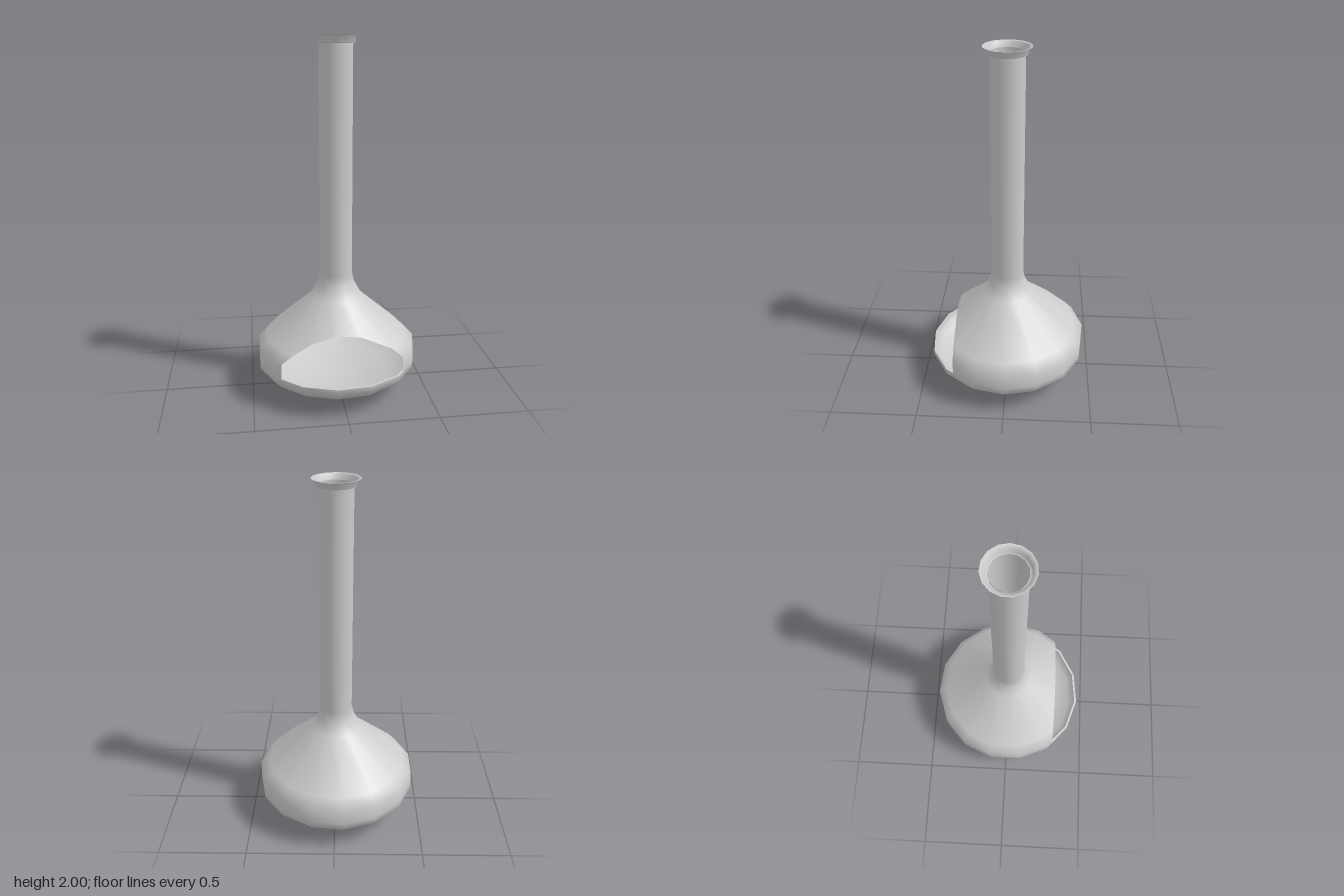
import * as THREE from 'three';

const SIDES = 15;
const LIP_Y = 0.18;   // height of the hearth lip
const CUT_Z = 0.3;    // vertical plane of the fire opening
const material = new THREE.MeshStandardMaterial({ color: 0xcccccc, side: THREE.DoubleSide });

// Turned surface with one corner pointing to +x
function turned(points) {
  return new THREE.LatheGeometry(points.map(([r, y]) => new THREE.Vector2(r, y)), SIDES, Math.PI / 2);
}

// Keep only the part of a geometry behind the plane z = limit
function clipFront(geometry, limit) {
  const src = geometry.toNonIndexed();
  const pos = src.attributes.position, nor = src.attributes.normal;
  const positions = [], normals = [];
  for (let i = 0; i < pos.count; i += 3) {
    const tri = [0, 1, 2].map(k => ({
      p: new THREE.Vector3().fromBufferAttribute(pos, i + k),
      n: new THREE.Vector3().fromBufferAttribute(nor, i + k),
    }));
    const poly = [];
    tri.forEach((a, k) => {
      const b = tri[(k + 1) % 3];
      if (a.p.z <= limit) poly.push(a);
      if ((a.p.z <= limit) !== (b.p.z <= limit)) {
        const t = (limit - a.p.z) / (b.p.z - a.p.z);
        poly.push({ p: a.p.clone().lerp(b.p, t), n: a.n.clone().lerp(b.n, t).normalize() });
      }
    });
    for (let k = 1; k + 1 < poly.length; k++) {
      for (const v of [poly[0], poly[k], poly[k + 1]]) {
        positions.push(...v.p.toArray());
        normals.push(...v.n.toArray());
      }
    }
  }
  const out = new THREE.BufferGeometry();
  out.setAttribute('position', new THREE.Float32BufferAttribute(positions, 3));
  out.setAttribute('normal', new THREE.Float32BufferAttribute(normals, 3));
  return out;
}

export function createModel() {
  const group = new THREE.Group();
  const add = (name, geometry) => {
    const mesh = new THREE.Mesh(geometry, material);
    mesh.name = name;
    group.add(mesh);
  };

  // Rounded bowl, its flat lip and its inner face
  add('bowl', turned([[0, 0], [0.09, 0.002], [0.19, 0.02], [0.33, 0.058], [0.42, 0.105], [0.46, 0.148], [0.46, LIP_Y]]));
  add('bowlLip', turned([[0.46, LIP_Y], [0.447, LIP_Y]]));
  add('bowlInside', turned([[0.447, LIP_Y], [0.447, 0.153], [0.41, 0.115], [0.325, 0.072], [0.19, 0.035], [0.09, 0.016], [0, 0.015]]));

  // Conical hood flowing into the flue, sliced off at the front for the fire opening
  const hood = turned([[0.46, LIP_Y], [0.46, 0.268], [0.41, 0.322], [0.145, 0.552], [0.105, 0.625], [0.093, 0.68], [0.093, 1.97]]);
  add('hoodAndFlue', clipFront(hood, CUT_Z));

  // Collar and thin flange around the open top
  add('topCollar', turned([[0.093, 1.96], [0.107, 1.962], [0.107, 1.997], [0.129, 2]]));

  // Odd number of sides: shift so the width is centred
  group.children.forEach(mesh => { mesh.position.x = -0.005; });
  return group;
}
